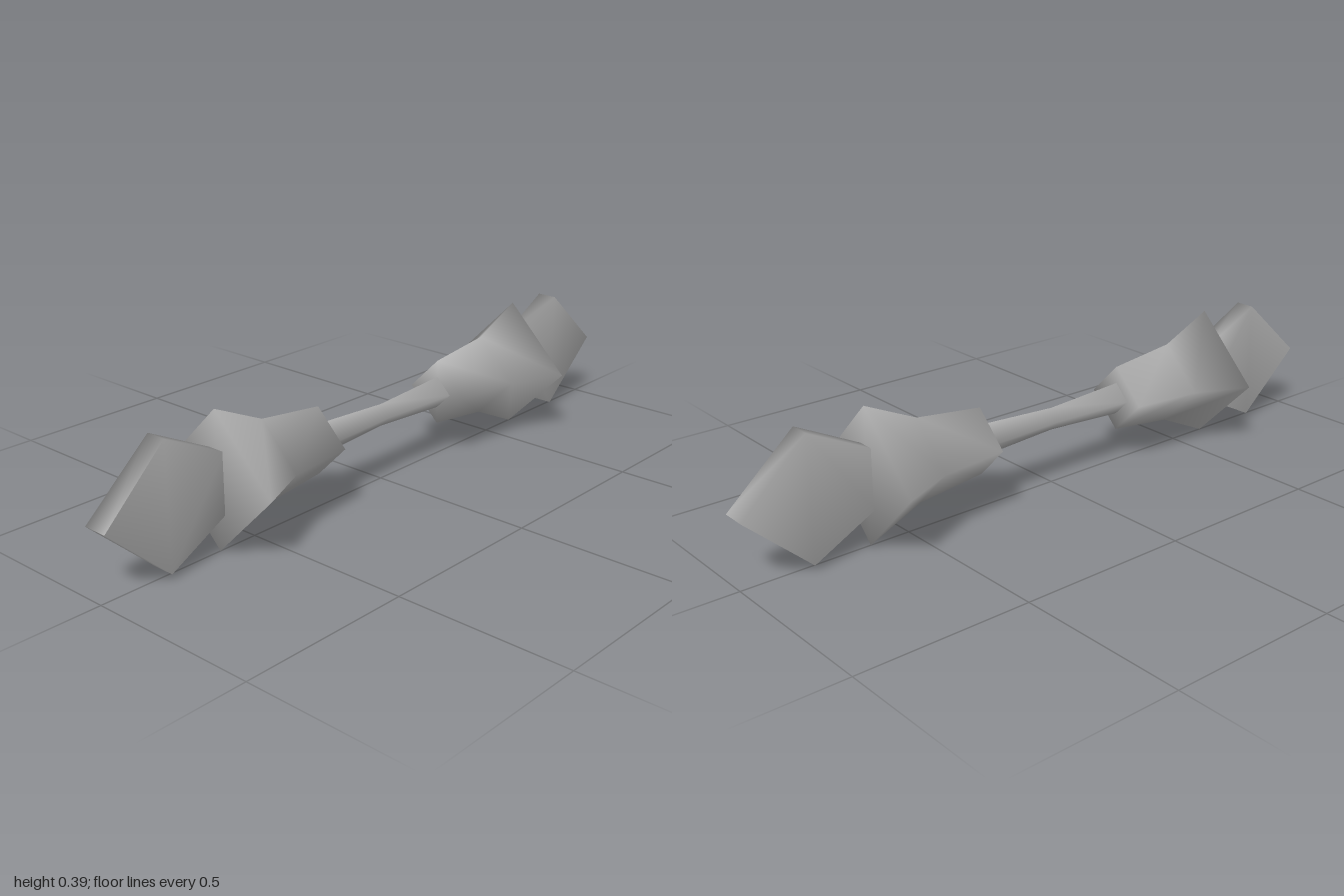
import * as THREE from 'three';

const CENTRE_Y = 0.198;

// four-cornered cross-sections, ordered from +y towards +z
const diamond = (h, d) => [[h, 0], [0, d], [-h, 0], [0, -d]];
const rectangle = (h, d) => [[h, d], [-h, d], [-h, -d], [h, -d]];

// capped loft along x through rings of [x, halfHeight, halfDepth], with shared smooth normals
function loft(rings, section, side = 1) {
  const positions = [], index = [];
  const tri = (a, b, c) => (side > 0 ? index.push(a, b, c) : index.push(a, c, b));
  for (const [x, h, d] of rings) {
    for (const [y, z] of section(h, d)) positions.push(side * x, y, z);
  }
  for (let r = 0; r < rings.length - 1; r++) {
    for (let i = 0; i < 4; i++) {
      const a = r * 4 + i, next = r * 4 + (i + 1) % 4;
      tri(a, next, next + 4);
      tri(a, next + 4, a + 4);
    }
  }
  const e = (rings.length - 1) * 4;
  tri(0, 2, 1);
  tri(0, 3, 2);
  tri(e, e + 1, e + 2);
  tri(e, e + 2, e + 3);
  const geometry = new THREE.BufferGeometry();
  geometry.setAttribute('position', new THREE.Float32BufferAttribute(positions, 3));
  geometry.setIndex(index);
  geometry.computeVertexNormals();
  return geometry;
}

export function createModel() {
  const model = new THREE.Group();
  model.name = 'doubleEndedBaton';
  const grey = new THREE.MeshStandardMaterial({ color: 0xaaaaaa });
  grey.name = 'plain grey';

  const add = (name, geometry) => {
    const mesh = new THREE.Mesh(geometry, grey);
    mesh.name = name;
    mesh.position.y = CENTRE_Y;
    model.add(mesh);
  };

  // slim handle, narrowest in the middle
  add('handle', loft([[-0.26, 0.048, 0.048], [0, 0.033, 0.033], [0.26, 0.048, 0.048]], diamond));

  for (const [side, label] of [[1, 'left'], [-1, 'right']]) {
    // flared guard between handle and blade
    add(label + 'Guard', loft([[0.253, 0.098, 0.098], [0.46, 0.122, 0.122], [0.62, 0.195, 0.195]], diamond, side));
    // flat pointed blade, thickening slightly towards the tip
    add(label + 'Blade', loft([[0.615, 0.085, 0.024], [0.805, 0.179, 0.03], [1, 0, 0.036]], rectangle, side));
  }
  return model;
}
